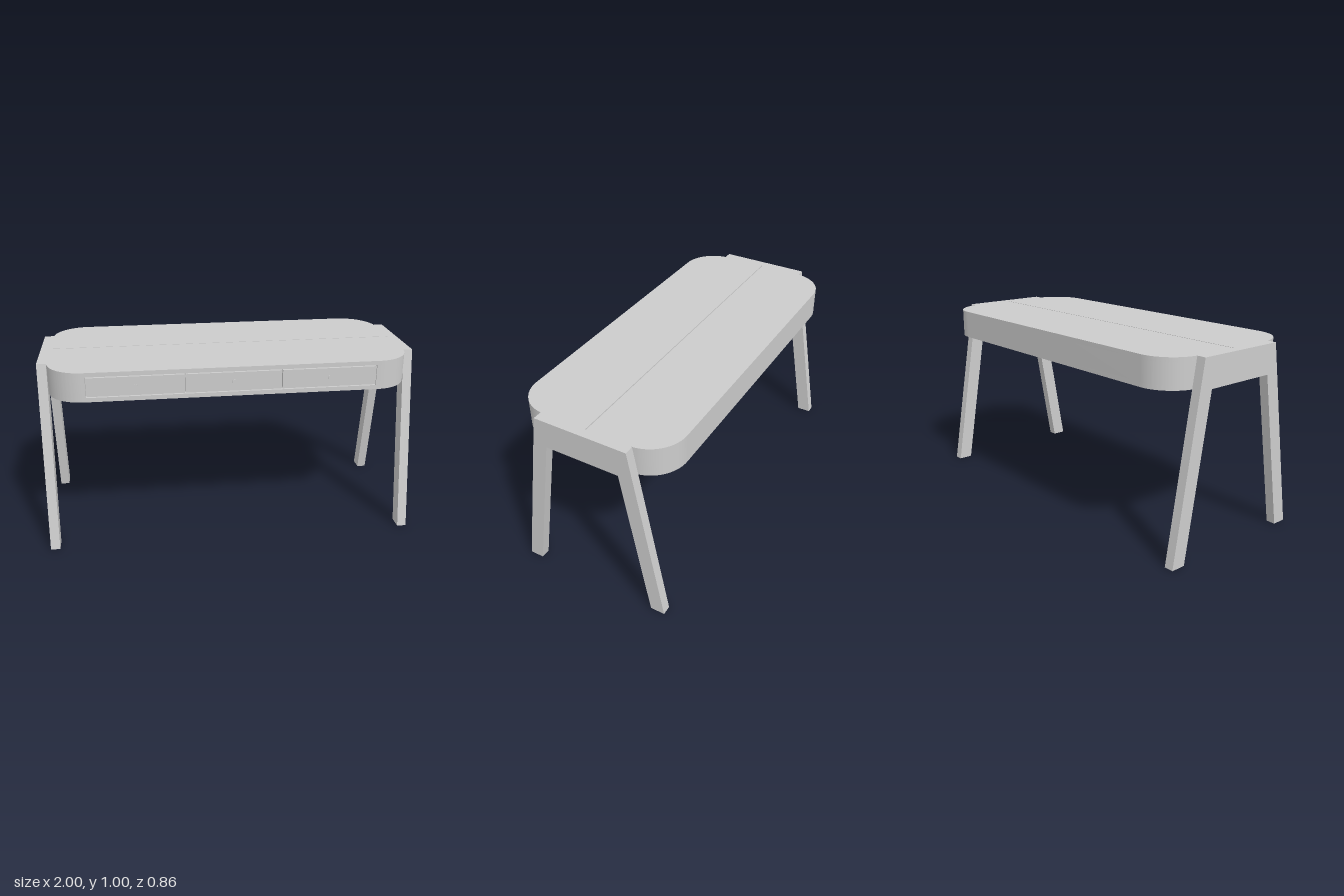
import * as THREE from 'three';
import { toCreasedNormals } from 'three/addons/utils/BufferGeometryUtils.js';

const HALF_W = 0.95, BACK = -0.432, FRONT = 0.422, MID = -0.005, R = 0.19;
const GAP = 0.005, NOTCH = 0.03;
const DRAWER_LOW = 0.868, DRAWER_HIGH = 0.977;

// Plan outline drawn as (x, z); either side may be rounded or cut square
function plan(z0, z1, roundBack, roundFront, notch) {
  const s = new THREE.Shape();
  const w = HALF_W;
  if (roundBack) {
    s.moveTo(-w, z0 + R);
    s.absarc(-w + R, z0 + R, R, Math.PI, Math.PI * 1.5, false);
    s.absarc(w - R, z0 + R, R, Math.PI * 1.5, Math.PI * 2, false);
  } else {
    s.moveTo(-w, z0);
    s.lineTo(w, z0);
  }
  if (roundFront) {
    s.absarc(w - R, z1 - R, R, 0, Math.PI / 2, false);
    if (notch) {
      s.lineTo(0.75, z1);
      s.lineTo(0.75, z1 - NOTCH);
      s.lineTo(-0.75, z1 - NOTCH);
      s.lineTo(-0.75, z1);
    }
    s.absarc(-w + R, z1 - R, R, Math.PI / 2, Math.PI, false);
  } else {
    s.lineTo(w, z1);
    s.lineTo(-w, z1);
  }
  s.closePath();
  return s;
}

// Horizontal slab between two heights
function slab(shape, y0, y1) {
  const g = new THREE.ExtrudeGeometry(shape, { depth: y1 - y0, bevelEnabled: false, curveSegments: 20 });
  g.rotateX(Math.PI / 2);
  g.translate(0, y1, 0);
  return toCreasedNormals(g, 0.5);
}

export function createModel() {
  const desk = new THREE.Group();
  desk.name = 'desk';
  const grey = new THREE.MeshStandardMaterial({ color: 0xcccccc });
  grey.name = 'light grey';

  const add = (name, geometry, parent = desk) => {
    const m = new THREE.Mesh(geometry, grey);
    m.name = name;
    parent.add(m);
    return m;
  };

  // Desk body: bottom panel, rim with drawer opening, two-part top
  add('bottomPanel', slab(plan(BACK, FRONT, true, true), 0.845, DRAWER_LOW));
  add('rim', slab(plan(BACK, FRONT, true, true, true), DRAWER_LOW, DRAWER_HIGH));
  const seam = MID - 0.004;
  add('topBack', slab(plan(BACK, seam - GAP / 2, true, false), DRAWER_HIGH, 1));
  add('topFront', slab(plan(seam + GAP / 2, FRONT, false, true), DRAWER_HIGH, 1));

  // Three drawer fronts, each with a spool-shaped knob
  const dh = DRAWER_HIGH - DRAWER_LOW;
  const knobProfile = [[0, 0], [0.005, 0], [0.005, 0.006], [0.012, 0.006], [0.012, 0.01], [0, 0.01]]
    .map(([r, y]) => new THREE.Vector2(r, y));
  for (const x of [-0.5, 0, 0.5]) {
    const drawer = new THREE.Group();
    drawer.name = 'drawer';
    drawer.position.set(x, (DRAWER_LOW + DRAWER_HIGH) / 2, FRONT);
    const panel = add('drawerFront', new THREE.BoxGeometry(0.5 - GAP, dh - GAP * 2, NOTCH), drawer);
    panel.position.z = -NOTCH / 2;
    const knob = toCreasedNormals(new THREE.LatheGeometry(knobProfile, 24), 0.6);
    knob.rotateX(Math.PI / 2);
    add('knob', knob, drawer);
    desk.add(drawer);
  }

  // Splayed side frames, drawn as (z, y)
  const half = [[0.427, 0], [0.254, 1]];
  const inner = [[0.2025, 0.845], [0.349, 0]];
  const points = [
    ...half,
    ...half.slice().reverse().map(([z, y]) => [-z, y]),
    ...inner.slice().reverse().map(([z, y]) => [-z, y]),
    ...inner,
  ].map(([z, y]) => new THREE.Vector2(z + MID, y));
  for (const [name, x] of [['leftLegFrame', 1], ['rightLegFrame', -HALF_W]]) {
    const g = new THREE.ExtrudeGeometry(new THREE.Shape(points), { depth: 1 - HALF_W, bevelEnabled: false });
    g.rotateY(-Math.PI / 2);
    g.translate(x, 0, 0);
    add(name, g);
  }

  return desk;
}
